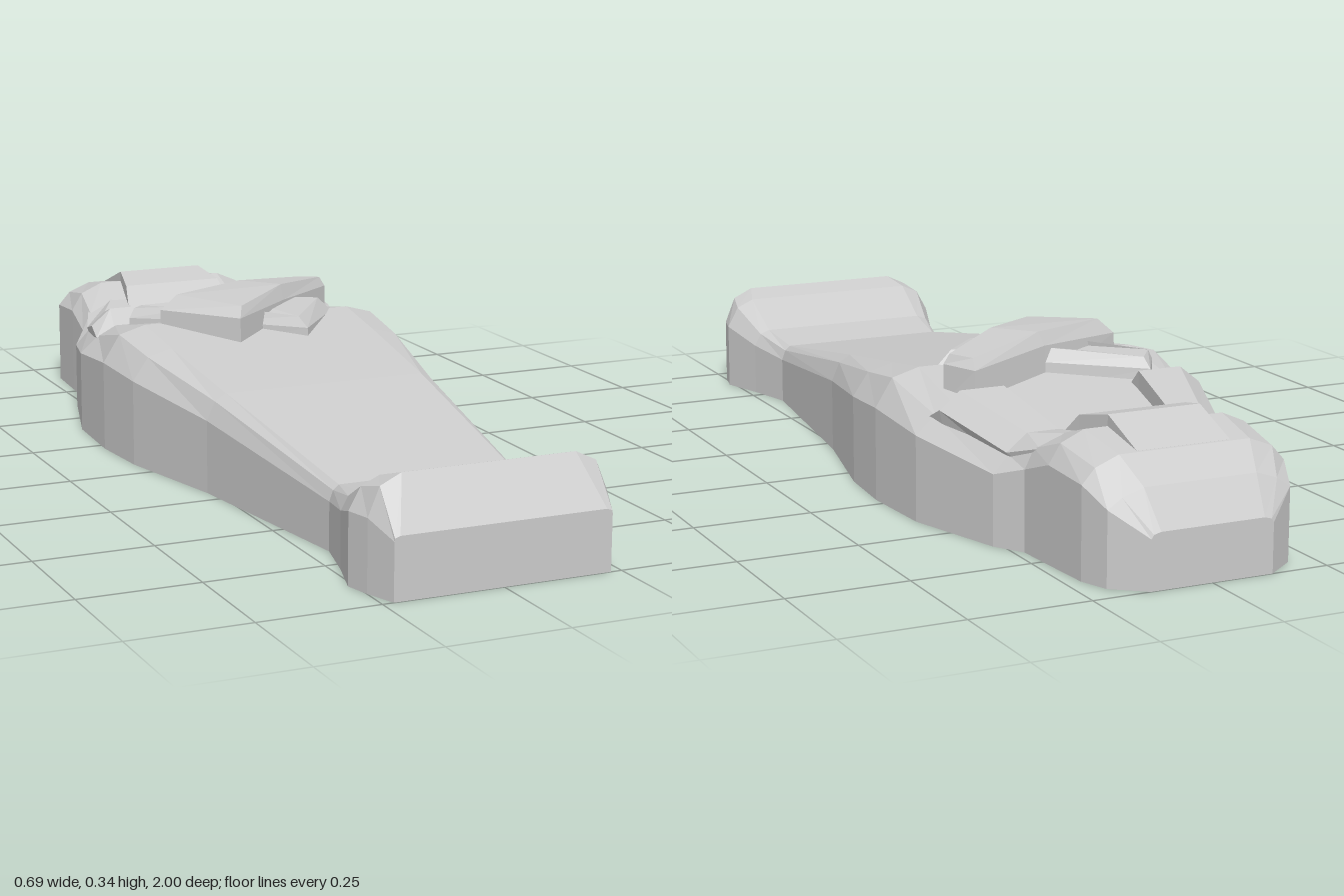
import * as THREE from 'three';

const material = new THREE.MeshStandardMaterial({ color: 0xcccccc, flatShading: true });

// Skin a row of rings; rings run counter-clockwise seen from the far end.
function loft(rings, { closed = true, caps = true } = {}) {
  const pos = [];
  const tri = (a, b, c) => pos.push(...a, ...b, ...c);
  const n = rings[0].length;
  for (let i = 0; i < rings.length - 1; i++) {
    for (let j = 0; j < (closed ? n : n - 1); j++) {
      const k = (j + 1) % n;
      tri(rings[i][j], rings[i][k], rings[i + 1][k]);
      tri(rings[i][j], rings[i + 1][k], rings[i + 1][j]);
    }
  }
  if (caps) {
    const first = rings[0], last = rings[rings.length - 1];
    for (let j = 1; j < n - 1; j++) {
      tri(first[0], first[j + 1], first[j]);
      tri(last[0], last[j], last[j + 1]);
    }
  }
  const geometry = new THREE.BufferGeometry();
  geometry.setAttribute('position', new THREE.Float32BufferAttribute(pos, 3));
  geometry.computeVertexNormals();
  return geometry;
}

const mirrorRings = (rings) => rings.map((r) => r.map(([x, y, z]) => [-x, y, z]).reverse());

// Lid stations: z, half width, wall height, bevel x, bevel y, top half width, top y
const STATIONS = [
  [-1.0, 0.13, 0.1, 0.125, 0.108, 0.11, 0.112],
  [-0.95, 0.195, 0.15, 0.165, 0.17, 0.12, 0.185],
  [-0.89, 0.217, 0.185, 0.19, 0.215, 0.14, 0.235],
  [-0.77, 0.225, 0.195, 0.2, 0.235, 0.15, 0.257],
  [-0.68, 0.23, 0.165, 0.21, 0.205, 0.15, 0.228],
  [-0.62, 0.268, 0.145, 0.235, 0.18, 0.2, 0.19],
  [-0.4, 0.333, 0.178, 0.29, 0.215, 0.25, 0.235],
  [-0.22, 0.343, 0.195, 0.305, 0.255, 0.245, 0.272],
  [-0.07, 0.33, 0.185, 0.295, 0.235, 0.24, 0.25],
  [0.2, 0.268, 0.155, 0.25, 0.195, 0.225, 0.21],
  [0.67, 0.205, 0.1, 0.197, 0.122, 0.185, 0.132],
  [0.78, 0.232, 0.115, 0.217, 0.142, 0.195, 0.15],
  [0.88, 0.263, 0.145, 0.238, 0.19, 0.2, 0.207],
  [0.935, 0.25, 0.145, 0.226, 0.203, 0.182, 0.224],
  [1.0, 0.227, 0.115, 0.226, 0.121, 0.215, 0.125],
];

export function createModel() {
  const group = new THREE.Group();
  const add = (name, geometry) => {
    const mesh = new THREE.Mesh(geometry, material);
    mesh.name = name;
    group.add(mesh);
    return mesh;
  };

  // Outer shell of the lid, open below
  add('lidShell', loft(STATIONS.map(([z, w, s, m, ym, tw, t]) => [
    [w, 0, z], [w, s, z], [m, ym, z], [tw, t, z],
    [-tw, t, z], [-m, ym, z], [-w, s, z], [-w, 0, z],
  ]), { closed: false }));

  // Underside: flat rim, recess walls and recess floor
  const rim = 0.04, depth = 0.08;
  const outline = (inset) => {
    const side = STATIONS.map(([z, w]) =>
      new THREE.Vector2(w - inset, THREE.MathUtils.clamp(z, -1 + inset * 1.2, 1 - inset * 1.2)));
    return [...side, ...side.map((p) => new THREE.Vector2(-p.x, p.y)).reverse()];
  };
  const inner = outline(rim);
  const rimShape = new THREE.Shape(outline(0));
  rimShape.holes.push(new THREE.Path(inner));
  add('bottomRim', new THREE.ShapeGeometry(rimShape).rotateX(Math.PI / 2));
  add('recessFloor', new THREE.ShapeGeometry(new THREE.Shape(inner)).rotateX(Math.PI / 2).translate(0, depth, 0));
  add('recessWall', loft([0, depth].map((y) => inner.map((p) => [p.x, y, p.y])), { caps: false }));

  // Raised face with sloping chin: z, half width, top y
  add('face', loft([
    [-0.885, 0.1, 0.236], [-0.77, 0.1, 0.28], [-0.685, 0.117, 0.262], [-0.61, 0.135, 0.188],
  ].map(([z, x, y]) => [[x, 0.14, z], [x, y, z], [-x, y, z], [-x, 0.14, z]])));

  // Headdress lappets: z, inner x, top outer x, top y, outer x, outer y
  const lappet = [
    [-0.7, 0.11, 0.15, 0.232, 0.208, 0.208],
    [-0.62, 0.128, 0.195, 0.22, 0.24, 0.185],
    [-0.43, 0.153, 0.25, 0.268, 0.295, 0.232],
    [-0.39, 0.156, 0.255, 0.232, 0.298, 0.212],
  ].map(([z, xi, xt, y, xo, yo]) => [[xi, 0.14, z], [xo - 0.02, 0.14, z], [xo, yo, z], [xt, y, z], [xi, y, z]]);
  add('leftLappet', loft(lappet));
  add('rightLappet', loft(mirrorRings(lappet)));

  // Crossed forearms: bevelled slabs that widen toward the hands
  const arm = (drop) => [
    [[0.08, 0.22, -0.2], [0.24, 0.22, -0.33], [0.2, 0.22, -0.4], [0, 0.22, -0.31], [-0.21, 0.22, -0.22], [-0.08, 0.22, -0.065]],
    [[0.08, 0.305, -0.2], [0.24, 0.3, -0.33], [0.2, 0.295, -0.395], [0, 0.31, -0.305], [-0.207, 0.302, -0.22], [-0.08, 0.302, -0.067]],
    [[0.08, 0.338, -0.215], [0.228, 0.321, -0.333], [0.195, 0.317, -0.375], [0.01, 0.338, -0.293], [-0.17, 0.335, -0.215], [-0.068, 0.325, -0.09]],
  ].map((ring, i) => ring.map(([x, y, z]) => [x, i ? y - drop : y, z]));
  add('upperForearm', loft(arm(0)));
  add('lowerForearm', loft(mirrorRings(arm(0.035))));

  return group;
}
